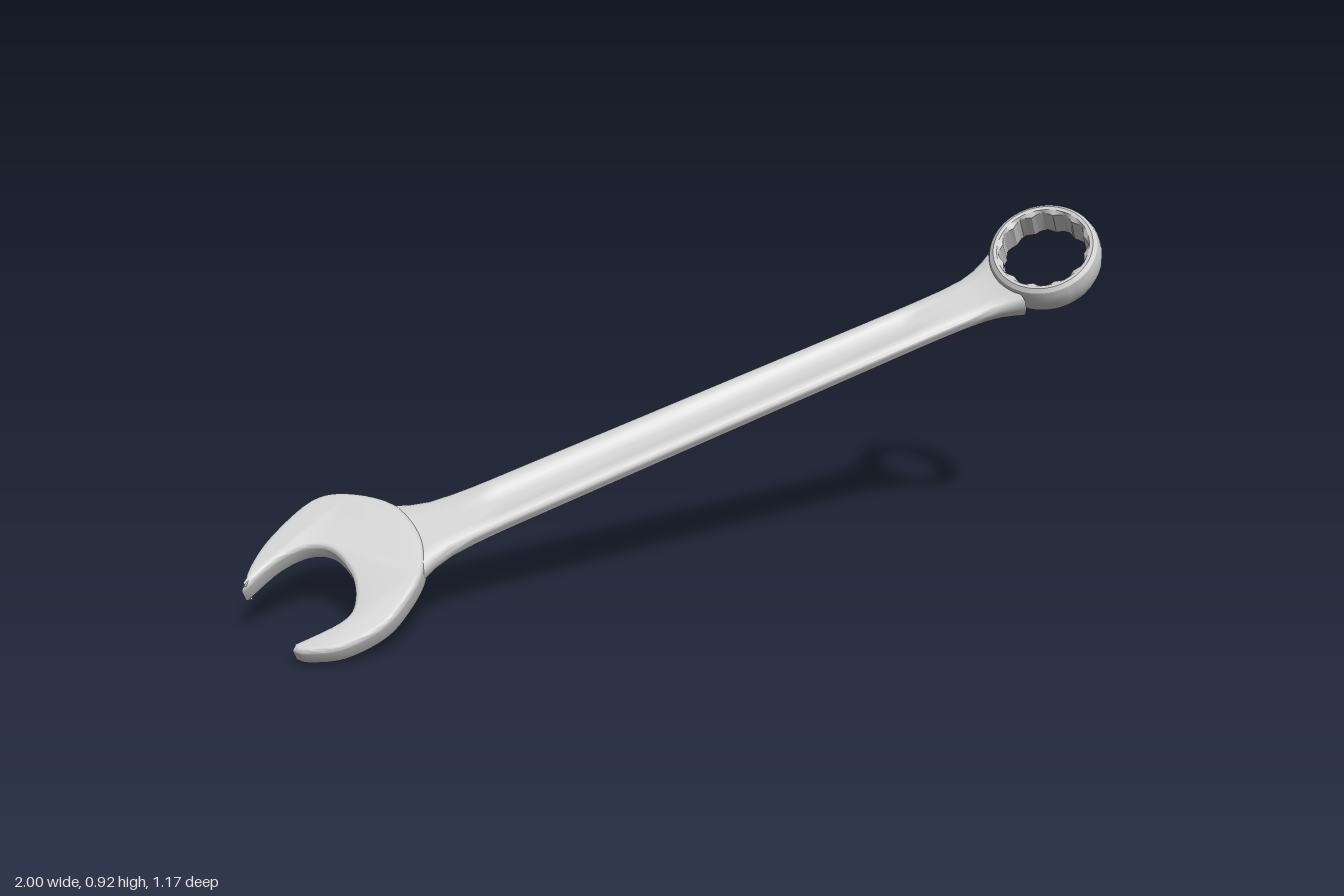
import * as THREE from 'three';
import { toCreasedNormals } from 'three/addons/utils/BufferGeometryUtils.js';

const steel = new THREE.MeshStandardMaterial({ color: 0xcccccc });

function part(name, geometry, crease) {
  const mesh = new THREE.Mesh(toCreasedNormals(geometry, crease), steel);
  mesh.name = name;
  return mesh;
}

// Open end: smooth outline around the head, then the slanted mouth
function openJaw() {
  const v = (list) => list.map(([x, y]) => new THREE.Vector2(x, y));
  const outer = [
    [-1.095, -0.178], [-1.07, -0.2], [-0.992, -0.227], [-0.891, -0.218], [-0.817, -0.176],
    [-0.748, -0.105], [-0.722, -0.01], [-0.752, 0.105], [-0.845, 0.187], [-0.934, 0.207],
    [-1.053, 0.15], [-1.122, 0.09], [-1.16, 0.03],
  ];
  const mouth = [
    [-1.145, 0.034], [-1.06, 0.072], [-0.984, 0.077], [-0.93, 0.04], [-0.908, -0.044],
    [-0.925, -0.12], [-0.969, -0.155], [-1.085, -0.165],
  ];
  const points = [
    ...new THREE.SplineCurve(v(outer)).getPoints(60),
    ...new THREE.SplineCurve(v(mouth)).getPoints(36),
  ];
  const bevel = 0.014, half = 0.031;
  const geometry = new THREE.ExtrudeGeometry(new THREE.Shape(points), {
    depth: 2 * (half - bevel), bevelThickness: bevel, bevelSize: 0.012,
    bevelOffset: -0.012, bevelSegments: 4,
  });
  geometry.translate(0.72, 0, -(half - bevel));
  const jaw = part('openJaw', geometry, 0.7);
  jaw.position.x = -0.72;
  jaw.rotation.y = 0.05;
  return jaw;
}

// Box end: barrel-shaped ring with a twelve-point socket
function ringEnd() {
  const profile = [
    [0.109, -0.038], [0.117, -0.046], [0.126, -0.047], [0.136, -0.039], [0.142, -0.022],
    [0.144, 0], [0.142, 0.022], [0.136, 0.039], [0.126, 0.047], [0.117, 0.046],
    [0.109, 0.038], [0.109, -0.038],
  ].map(([r, y]) => new THREE.Vector2(r, y));
  const geometry = new THREE.LatheGeometry(profile, 96);
  const pos = geometry.attributes.position;
  for (let i = 0; i < pos.count; i++) {
    const x = pos.getX(i), z = pos.getZ(i);
    if (Math.hypot(x, z) > 0.112) continue;
    const phase = ((Math.atan2(z, x) / (2 * Math.PI)) * 12 + 12) % 1;
    const k = 0.96 + 0.09 * Math.abs(2 * phase - 1);
    pos.setXYZ(i, x * k, pos.getY(i), z * k);
  }
  geometry.rotateX(Math.PI / 2);
  const ring = part('ringEnd', geometry, 0.45);
  ring.position.set(1.015, 0.01, 0.04);
  ring.rotation.y = -0.22;
  return ring;
}

// Shank: lofted sections with a shallow groove on both faces
function handle() {
  // along, half width, lift, half thickness, groove
  const stations = [
    [-0.82, 0.14, 0.004, 0.026, 0], [-0.76, 0.116, 0.002, 0.026, 0], [-0.72, 0.095, 0.001, 0.025, 0],
    [-0.67, 0.081, 0, 0.023, 0], [-0.61, 0.075, 0, 0.021, 0], [-0.56, 0.073, 0, 0.02, 0],
    [-0.51, 0.072, 0, 0.02, 0.35], [0, 0.068, 0, 0.019, 0.35], [0.6, 0.063, 0, 0.019, 0.35],
    [0.66, 0.063, 0, 0.019, 0], [0.74, 0.064, 0, 0.02, 0], [0.8, 0.068, 0.001, 0.022, 0],
    [0.84, 0.076, 0.004, 0.025, 0], [0.87, 0.087, 0.007, 0.029, 0], [0.897, 0.1, 0.011, 0.033, 0],
  ];
  // width fraction, height fraction, groove share
  const top = [[1, 0, 0], [0.98, 0.45, 0], [0.93, 0.8, 0], [0.82, 1, 0], [0.5, 1, 0], [0.36, 1, 1], [0, 1, 1]];
  const upper = [...top, ...top.slice(0, -1).reverse().map(([a, b, g]) => [-a, b, g])];
  const section = [...upper, ...upper.slice(1, -1).reverse().map(([a, b, g]) => [a, -b, g])];
  const n = section.length, positions = [], index = [];
  stations.forEach(([s, width, lift, thick, groove], j) => {
    for (const [a, b, g] of section) positions.push(s, a * width, lift + b * thick * (1 - g * groove));
    if (j === 0) return;
    for (let i = 0; i < n; i++) {
      const a = (j - 1) * n + i, b = (j - 1) * n + ((i + 1) % n);
      index.push(a, a + n, b, b, a + n, b + n);
    }
  });
  // End caps
  const last = (stations.length - 1) * n;
  for (let i = 1; i < n - 1; i++) {
    index.push(0, i, i + 1);
    index.push(last, last + i + 1, last + i);
  }
  // Sections run from +width over the top, so turn the faces outward
  for (let i = 0; i < index.length; i += 3) {
    const a = index[i], b = index[i + 1], c = index[i + 2];
    const cap = a % n === 0 && Math.floor(a / n) === Math.floor(b / n) && Math.floor(b / n) === Math.floor(c / n);
    if (cap || !cap) { index[i + 1] = c; index[i + 2] = b; }
  }
  const geometry = new THREE.BufferGeometry();
  geometry.setAttribute('position', new THREE.Float32BufferAttribute(positions, 3));
  geometry.setIndex(index);
  return part('handle', geometry, 0.7);
}

export function createModel() {
  const wrench = new THREE.Group();
  wrench.name = 'combinationWrench';
  wrench.add(openJaw(), handle(), ringEnd());
  // Lay the tool diagonally on an inclined plane
  const incline = THREE.MathUtils.degToRad(36.2), swing = THREE.MathUtils.degToRad(32.2);
  wrench.rotation.set(incline - Math.PI / 2, 0, swing);
  wrench.position.set(0, 0.44, -0.03);
  const model = new THREE.Group();
  model.add(wrench);
  return model;
}
